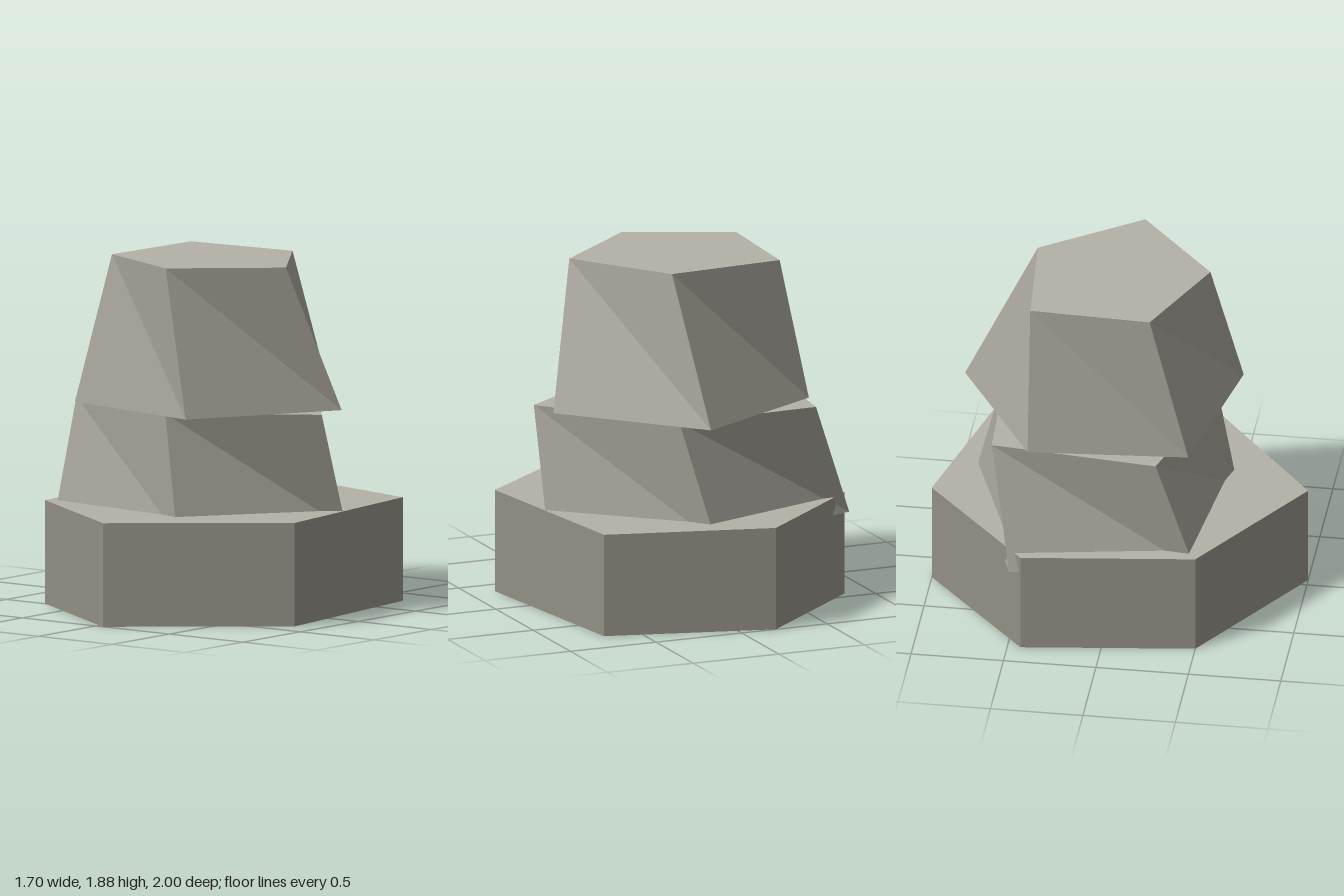
import * as THREE from 'three';

// Mesh from a list of corner triples
function facets(name, triangles, color) {
  const geometry = new THREE.BufferGeometry();
  geometry.setAttribute('position', new THREE.Float32BufferAttribute(triangles.flat(2), 3));
  geometry.computeVertexNormals();
  const mesh = new THREE.Mesh(geometry,
    new THREE.MeshStandardMaterial({ color, flatShading: true, side: THREE.DoubleSide }));
  mesh.name = name;
  return mesh;
}

// Triangle fan closing a ring
const fan = (ring) => ring.slice(2).map((p, i) => [ring[0], ring[i + 1], p]);

// Twisted rock between two rings of [x, z] points, counterclockwise from above; open below
function makeRock(name, lower, upper, y0, y1, sideColor) {
  const bottom = lower.map(([x, z]) => [x, y0, z]);
  const top = upper.map(([x, z]) => [x, y1, z]);
  const sides = bottom.flatMap((b, i) => {
    const j = (i + 1) % bottom.length;
    return [[b, bottom[j], top[i]], [top[i], bottom[j], top[j]]];
  });
  const rock = new THREE.Group();
  rock.name = name;
  rock.add(facets('sides', sides, sideColor), facets('topFace', fan(top), 0xb3b1a7));
  return rock;
}

export function createModel() {
  const model = new THREE.Group();
  model.name = 'stackedRocks';

  // straight six-sided foundation with a dark underside
  const base = [[0.05, 1], [0.85, 0.36], [0.703, -0.77], [-0.2, -1], [-0.85, -0.43], [-0.735, 0.5]];
  const baseRock = makeRock('baseRock', base, base, 0, 0.56, 0x928f84);
  const underside = base.map(([x, z]) => [x, 0, z]).reverse();
  baseRock.add(facets('underside', fan(underside), 0x5c574d));
  model.add(baseRock);

  // twisted five-sided block, sunk slightly into the base
  model.add(makeRock('middleRock',
    [[0.23, 0.59], [0.779, -0.18], [0.07, -0.815], [-0.85, -0.49], [-0.68, 0.49]],
    [[0.09, 0.51], [0.77, 0.02], [0.21, -0.65], [-0.6, -0.62], [-0.695, 0.28]],
    0.465, 1.1, 0x9f9d93));

  // tapered five-sided cap
  model.add(makeRock('topRock',
    [[0.31, 0.615], [0.745, -0.185], [0.12, -0.865], [-0.645, -0.42], [-0.58, 0.44]],
    [[0.06, 0.47], [0.55, 0.05], [0.18, -0.48], [-0.47, -0.43], [-0.5, 0.22]],
    1.1, 1.88, 0x9f9d93));

  return model;
}
